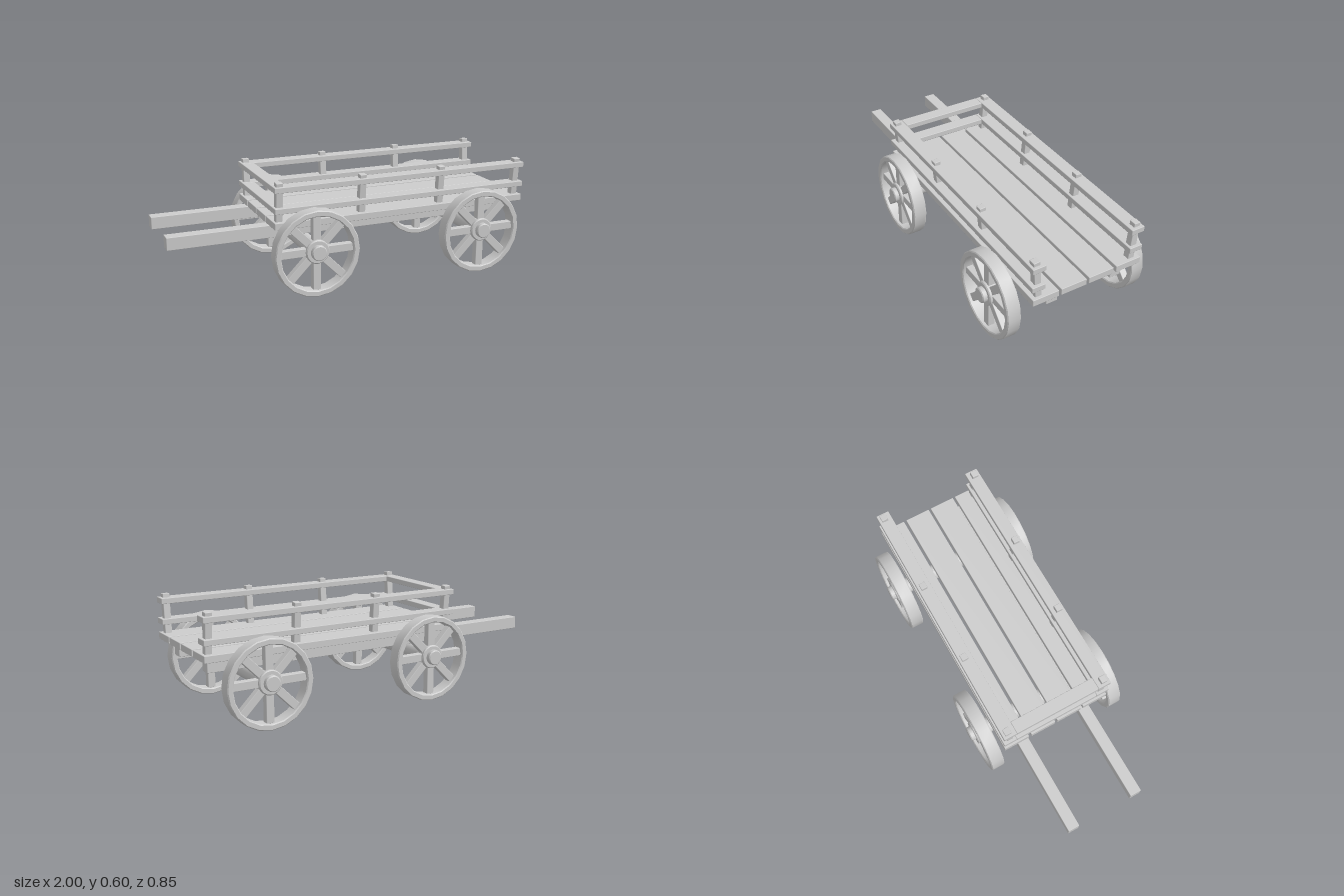
import * as THREE from 'three';
import { toCreasedNormals } from 'three/addons/utils/BufferGeometryUtils.js';
import { RoundedBoxGeometry } from 'three/addons/geometries/RoundedBoxGeometry.js';

const material = new THREE.MeshStandardMaterial({ color: 0xcccccc });

function add(parent, name, geometry, x = 0, y = 0, z = 0) {
  const mesh = new THREE.Mesh(geometry, material);
  mesh.name = name;
  mesh.position.set(x, y, z);
  parent.add(mesh);
  return mesh;
}

// Timber with lightly eased edges, given by its extents
function beam(parent, name, [x0, x1], [y0, y1], [z0, z1]) {
  const geometry = new RoundedBoxGeometry(x1 - x0, y1 - y0, z1 - z0, 1, 0.003);
  return add(parent, name, geometry, (x0 + x1) / 2, (y0 + y1) / 2, (z0 + z1) / 2);
}

// Closed or solid turned part along z, with chamfered rims
function turned(inner, outer, half, sides, c = 0.005) {
  const profile = inner > 0
    ? [[inner + c, -half], [outer - c, -half], [outer, c - half], [outer, half - c],
       [outer - c, half], [inner + c, half], [inner, half - c], [inner, c - half], [inner + c, -half]]
    : [[0, -half], [outer - c, -half], [outer, c - half], [outer, half - c], [outer - c, half], [0, half]];
  const lathe = new THREE.LatheGeometry(profile.map(([r, h]) => new THREE.Vector2(r, h)), sides);
  return toCreasedNormals(lathe.rotateX(Math.PI / 2), 0.5);
}

function makeWheel() {
  const wheel = new THREE.Group();
  wheel.name = 'wheel';
  add(wheel, 'rim', turned(0.2, 0.232, 0.038, 20), 0, -0.01, 0);
  add(wheel, 'hub', turned(0, 0.064, 0.034, 20));
  for (let i = 0; i < 8; i++) {
    const angle = (i * Math.PI) / 4;
    const spoke = add(wheel, 'spoke', new RoundedBoxGeometry(0.17, 0.043, 0.038, 1, 0.003),
      Math.cos(angle) * 0.125, Math.sin(angle) * 0.125, 0);
    spoke.rotation.z = angle;
  }
  return wheel;
}

export function createModel() {
  const cart = new THREE.Group();
  cart.name = 'cart';

  // Axles with a wheel at each end
  for (const x of [-0.267, 0.698]) {
    add(cart, 'axle', turned(0, 0.044, 0.335, 20), x, 0.243, 0);
    add(cart, 'axleEnds', turned(0, 0.041, 0.427, 20), x, 0.243, 0);
    for (const side of [1, -1]) {
      const wheel = makeWheel();
      wheel.position.set(x, 0.243, side * 0.367);
      cart.add(wheel);
    }
  }

  // Long shafts that run under the bed
  for (const z of [0.177, -0.198]) {
    beam(cart, 'shaft', [-1, 0.955], [0.286, 0.354], [z - 0.032, z + 0.032]);
  }

  // Bed planks
  for (const z of [0.243, 0.084, -0.075, -0.236]) {
    beam(cart, 'bedPlank', [-0.468, 1], [0.357, 0.394], [z - 0.073, z + 0.073]);
  }

  // Two tiers of rails, closed at one end only
  for (const y of [0.456, 0.566]) {
    const height = [y - 0.015, y + 0.015];
    beam(cart, 'sideRailLeft', [-0.468, 1], height, [0.249, 0.323]);
    beam(cart, 'sideRailRight', [-0.468, 1], height, [-0.311, -0.237]);
    beam(cart, 'endRail', [-0.468, -0.398], height, [-0.237, 0.249]);
  }

  // Posts leaning slightly outward
  for (const x of [-0.436, 0.025, 0.49, 0.965]) {
    for (const side of [1, -1]) {
      const post = add(cart, 'railPost', new RoundedBoxGeometry(0.037, 0.22, 0.036, 1, 0.003),
        x, 0.491, 0.006 + side * 0.277);
      post.rotation.x = side * 0.08;
    }
  }
  return cart;
}
